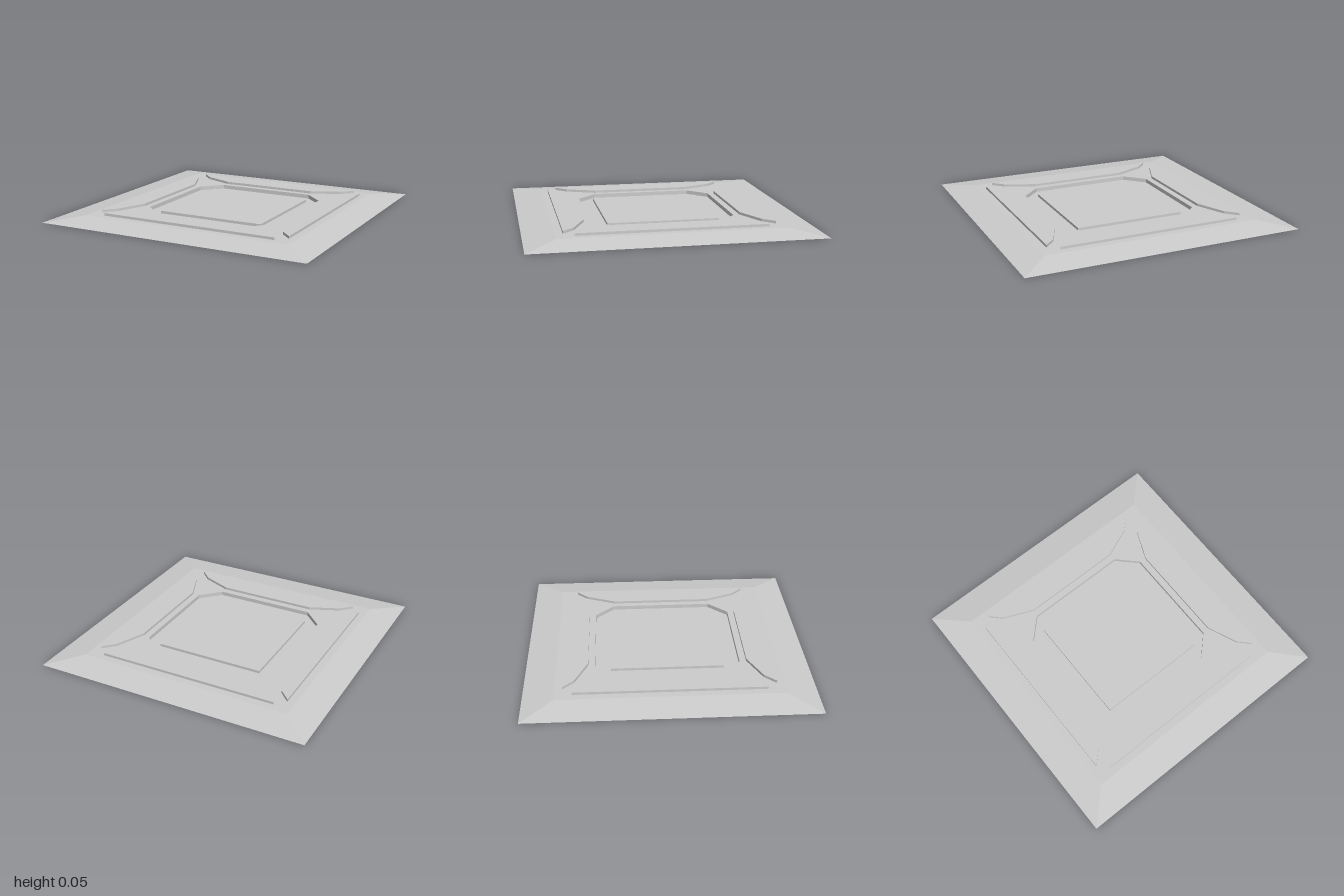
import * as THREE from 'three';

const DECK = 0.03, PANEL_TOP = 0.048, FLOOR = 0.001, PAD_TOP = 0.02;
const material = new THREE.MeshStandardMaterial({ color: 0xcccccc, flatShading: true, side: THREE.DoubleSide });

// Plan outlines, counter-clockwise
const square = r => [[-r, -r], [r, -r], [r, r], [-r, r]];
const octagon = (a, b) => [[-a, -b], [a, -b], [b, -a], [b, a], [a, b], [-a, b], [-b, a], [-b, -a]];
const panel = [[-0.365, 0.56], [0.365, 0.56], [0.583, 0.652], [0.663, 0.732], [-0.663, 0.732], [-0.583, 0.652]];
const turn = (pts, k) => {
  const c = Math.round(Math.cos(k * Math.PI / 2)), s = Math.round(Math.sin(k * Math.PI / 2));
  return pts.map(([x, y]) => [x * c - y * s, x * s + y * c]);
};
const vectors = pts => pts.map(([x, y]) => new THREE.Vector2(x, y));

function addMesh(group, name, geometry) {
  const mesh = new THREE.Mesh(geometry, material);
  mesh.name = name;
  group.add(mesh);
}

// Level sheet at a given height, with cut-outs
function sheet(outline, height, holes = []) {
  const shape = new THREE.Shape(vectors(outline));
  shape.holes = holes.map(h => new THREE.Path(vectors(h)));
  return new THREE.ShapeGeometry(shape).rotateX(-Math.PI / 2).translate(0, height, 0);
}

// Upright band following an outline; inward walls face the middle
function wall(outline, low, high, inward = false) {
  const positions = [];
  outline.forEach(([x0, y0], i) => {
    const [x1, y1] = outline[(i + 1) % outline.length];
    const a = [x0, low, -y0], b = [x1, low, -y1], c = [x1, high, -y1], d = [x0, high, -y0];
    const corners = inward ? [a, c, b, a, d, c] : [a, b, c, a, c, d];
    corners.forEach(p => positions.push(...p));
  });
  const geometry = new THREE.BufferGeometry();
  geometry.setAttribute('position', new THREE.Float32BufferAttribute(positions, 3));
  geometry.computeVertexNormals();
  return geometry;
}

export function createModel() {
  const model = new THREE.Group();
  model.name = 'reliefTile';

  const recess = octagon(0.373, 0.512);
  const pad = square(0.4);
  const panels = [0, 1, 2, 3].map(k => turn(panel, k));

  // Sloping border
  const border = new THREE.CylinderGeometry(0.785 * Math.SQRT2, Math.SQRT2, DECK, 4, 1, true);
  addMesh(model, 'slopedBorder', border.rotateY(Math.PI / 4).translate(0, DECK / 2, 0));

  // Level deck around the recess and panels
  addMesh(model, 'deck', sheet(square(0.785), DECK, [recess, ...panels]));

  // Four raised panels
  panels.forEach((outline, k) => {
    const group = new THREE.Group();
    group.name = ['back', 'left', 'front', 'right'][k] + 'Panel';
    addMesh(group, 'panelTop', sheet(outline, PANEL_TOP));
    addMesh(group, 'panelSides', wall(outline, DECK, PANEL_TOP));
    model.add(group);
  });
  // Turning the plan a quarter takes the back panel to the model's right
  model.getObjectByName('leftPanel').name = 'swap';
  model.getObjectByName('rightPanel').name = 'leftPanel';
  model.getObjectByName('swap').name = 'rightPanel';

  // Sunken octagon
  addMesh(model, 'recessWall', wall(recess, FLOOR, DECK, true));
  addMesh(model, 'recessFloor', sheet(recess, FLOOR, [pad]));

  // Raised centre pad
  addMesh(model, 'centrePadSides', wall(pad, FLOOR, PAD_TOP));
  addMesh(model, 'centrePadTop', sheet(pad, PAD_TOP));

  return model;
}
